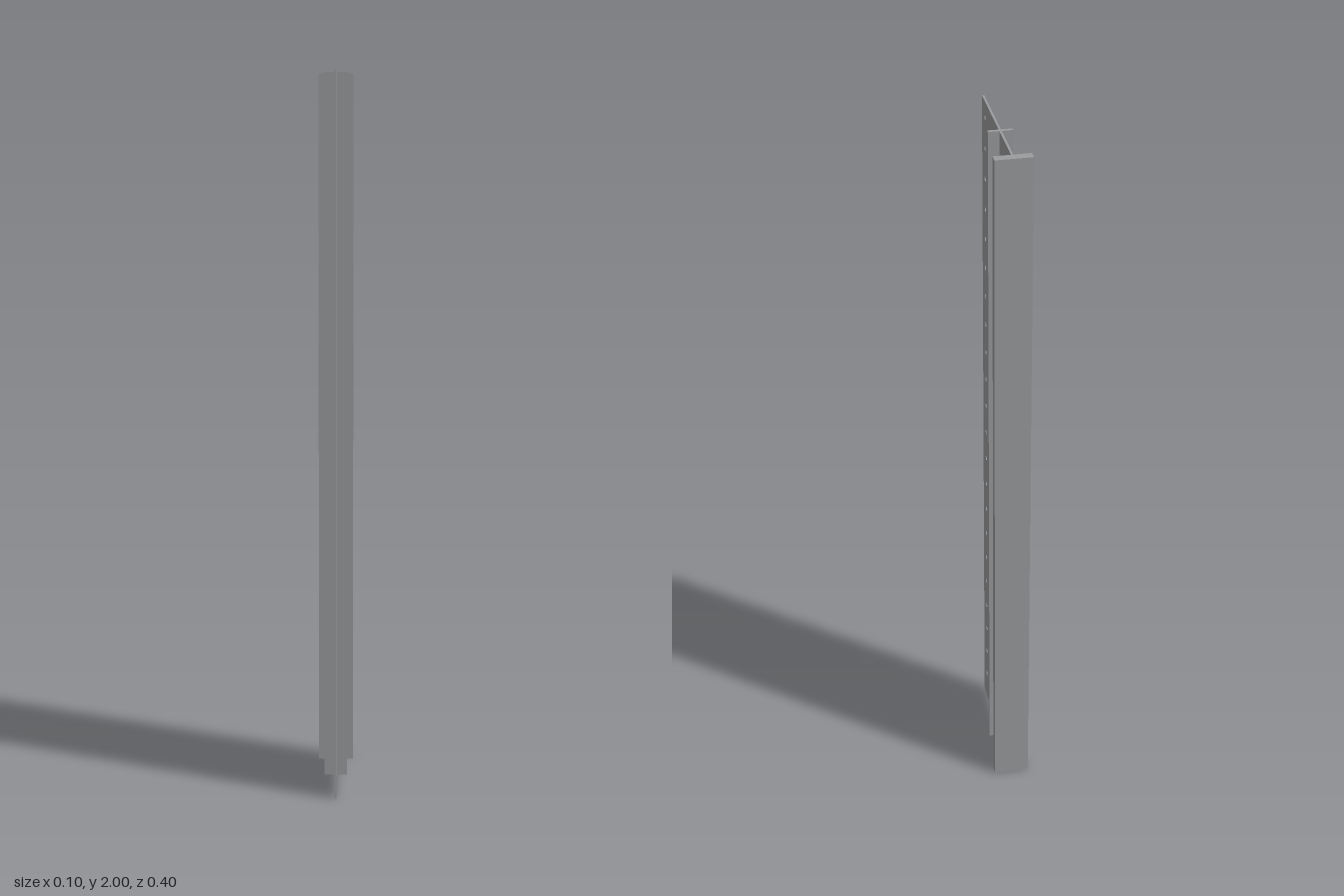
import * as THREE from 'three';

const HEIGHT = 2;
const WEB = 0.006; // web thickness

export function createModel() {
  const model = new THREE.Group();
  model.name = 'steelProfile';
  const steel = new THREE.MeshStandardMaterial({ color: 0x9b9c9e });
  steel.name = 'steel grey';

  const add = (name, geometry) => {
    const mesh = new THREE.Mesh(geometry, steel);
    mesh.name = name;
    model.add(mesh);
  };

  // Full-height bar between two depths
  const bar = (name, x0, x1, z0, z1) => add(name,
    new THREE.BoxGeometry(x1 - x0, HEIGHT, z1 - z0)
      .translate((x0 + x1) / 2, HEIGHT / 2, (z0 + z1) / 2));

  // Web plate, drawn in (-z, y), with a row of holes near the front edge
  const plate = new THREE.Shape();
  plate.moveTo(-0.2, 0);
  plate.lineTo(0.175, 0);
  plate.lineTo(0.175, HEIGHT);
  plate.lineTo(-0.2, HEIGHT);
  plate.closePath();
  const pitch = HEIGHT / 22.5;
  for (let i = 1; i <= 22; i++) {
    const hole = new THREE.Path();
    hole.absarc(-0.16, i * pitch, 0.008, 0, Math.PI * 2, true);
    plate.holes.push(hole);
  }
  add('web', new THREE.ExtrudeGeometry(plate, { depth: WEB, bevelEnabled: false, curveSegments: 8 })
    .translate(0, 0, -WEB / 2)
    .rotateY(Math.PI / 2));

  // Thick flange along the back edge
  bar('backFlange', -0.05, 0.05, -0.2, -0.175);

  // Stiffening ribs on both sides of the web
  bar('leftRib', WEB / 2, 0.033, -0.031, -0.021);
  bar('rightRib', -0.033, -WEB / 2, -0.031, -0.021);

  // Rib ends across the web thickness are flush with the web itself
  return model;
}
